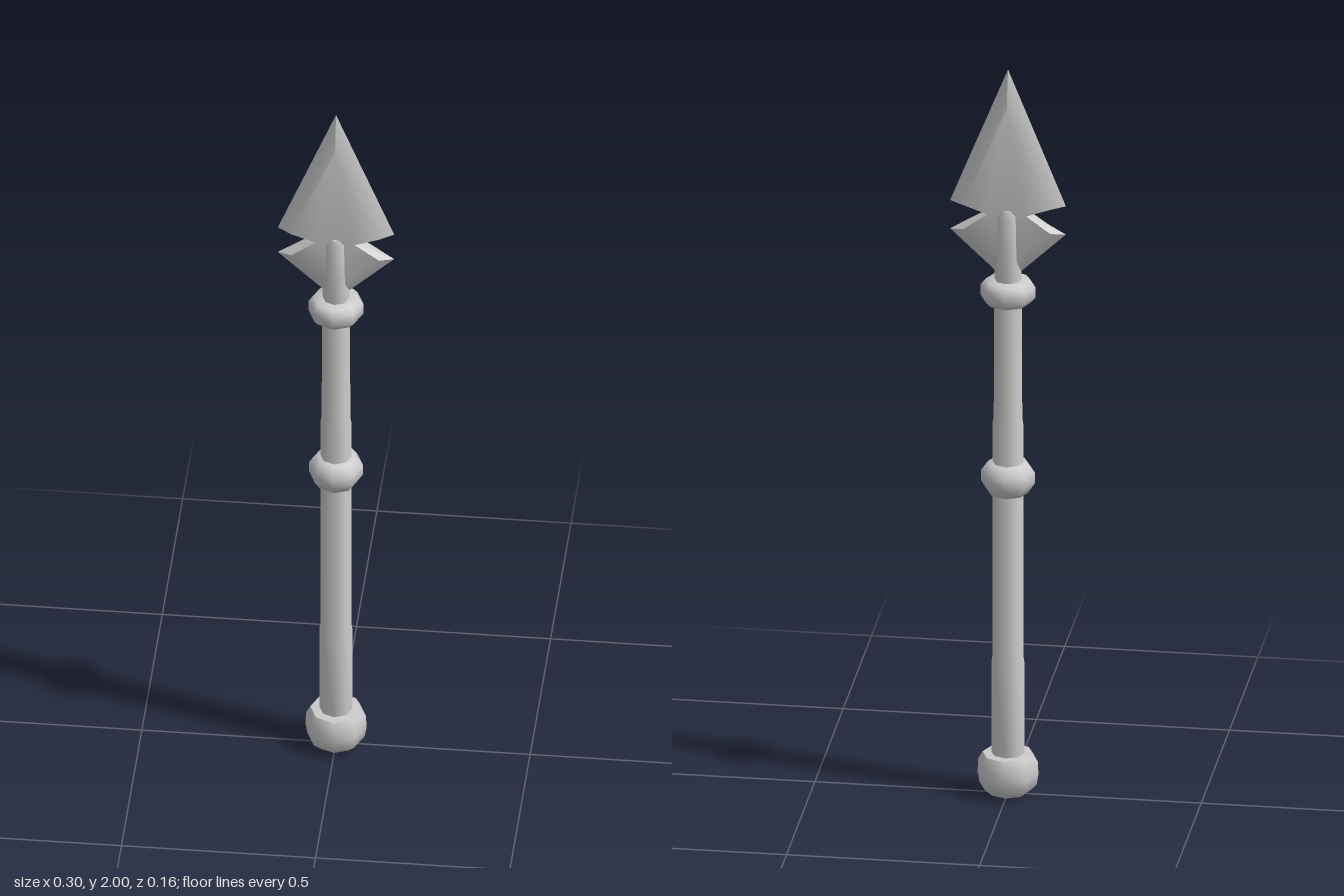
import * as THREE from 'three';
import { toCreasedNormals } from 'three/addons/utils/BufferGeometryUtils.js';

const material = new THREE.MeshStandardMaterial({ color: 0xcccccc });

// Eight-sided turned part from [radius, height] pairs, bottom to top
function turned(name, profile) {
  const points = profile.map(([r, y]) => new THREE.Vector2(r, y));
  const mesh = new THREE.Mesh(toCreasedNormals(new THREE.LatheGeometry(points, 8), 1.0), material);
  mesh.name = name;
  return mesh;
}

// Mirrors a half outline (tip first, bottom last) into a counter-clockwise loop
function mirrored(half) {
  const left = half.slice(1, -1).map(([x, y]) => [-x, y]);
  const right = half.slice(1, -1).reverse();
  return [half[0], ...left, half[half.length - 1], ...right].map(([x, y]) => new THREE.Vector2(x, y));
}

// Flat blade with bevels from a thin outer edge up to a raised inner face
function blade() {
  const outer = mirrored([[0, 2], [0.15, 1.63], [0.06, 1.603], [0.15, 1.552], [0.03, 1.44], [0, 1.42]]);
  const inner = mirrored([[0, 1.9], [0.113, 1.627], [0.05, 1.605], [0.113, 1.56], [0.022, 1.475], [0, 1.46]]);
  const n = outer.length;
  const depth = 0.022;
  const positions = [];
  for (const p of outer) positions.push(p.x, p.y, 0);
  for (const z of [depth, -depth]) for (const p of inner) positions.push(p.x, p.y, z);

  const index = [];
  for (let i = 0; i < n; i++) {
    const j = (i + 1) % n;
    index.push(i, j, n + j, i, n + j, n + i);
    index.push(j, i, 2 * n + i, j, 2 * n + i, 2 * n + j);
  }
  for (const [a, b, c] of THREE.ShapeUtils.triangulateShape(inner, [])) {
    index.push(n + a, n + b, n + c, 2 * n + c, 2 * n + b, 2 * n + a);
  }
  const geometry = new THREE.BufferGeometry();
  geometry.setAttribute('position', new THREE.Float32BufferAttribute(positions, 3));
  geometry.setIndex(index);
  const mesh = new THREE.Mesh(toCreasedNormals(geometry, 0.65), material);
  mesh.name = 'blade';
  return mesh;
}

export function createModel() {
  const group = new THREE.Group();
  group.name = 'spear';
  group.add(
    // Rounded butt cap
    turned('pommel', [[0, 0], [0.052, 0.004], [0.074, 0.025], [0.079, 0.055], [0.077, 0.09], [0.066, 0.11], [0.03, 0.112]]),
    // Tapering pole, slightly stepped
    turned('shaft', [[0.043, 0.09], [0.043, 0.36], [0.04, 0.38], [0.04, 1.02], [0.037, 1.04], [0.036, 1.39]]),
    // Two ring collars
    turned('middleCollar', [[0.03, 0.83], [0.052, 0.832], [0.07, 0.86], [0.07, 0.888], [0.052, 0.914], [0.03, 0.916]]),
    turned('upperCollar', [[0.03, 1.354], [0.056, 1.356], [0.071, 1.373], [0.071, 1.402], [0.058, 1.418], [0.03, 1.42]]),
    // Socket gripping the blade
    turned('socket', [[0.035, 1.39], [0.034, 1.5], [0.032, 1.6], [0.026, 1.617], [0, 1.618]]),
    blade()
  );
  return group;
}
